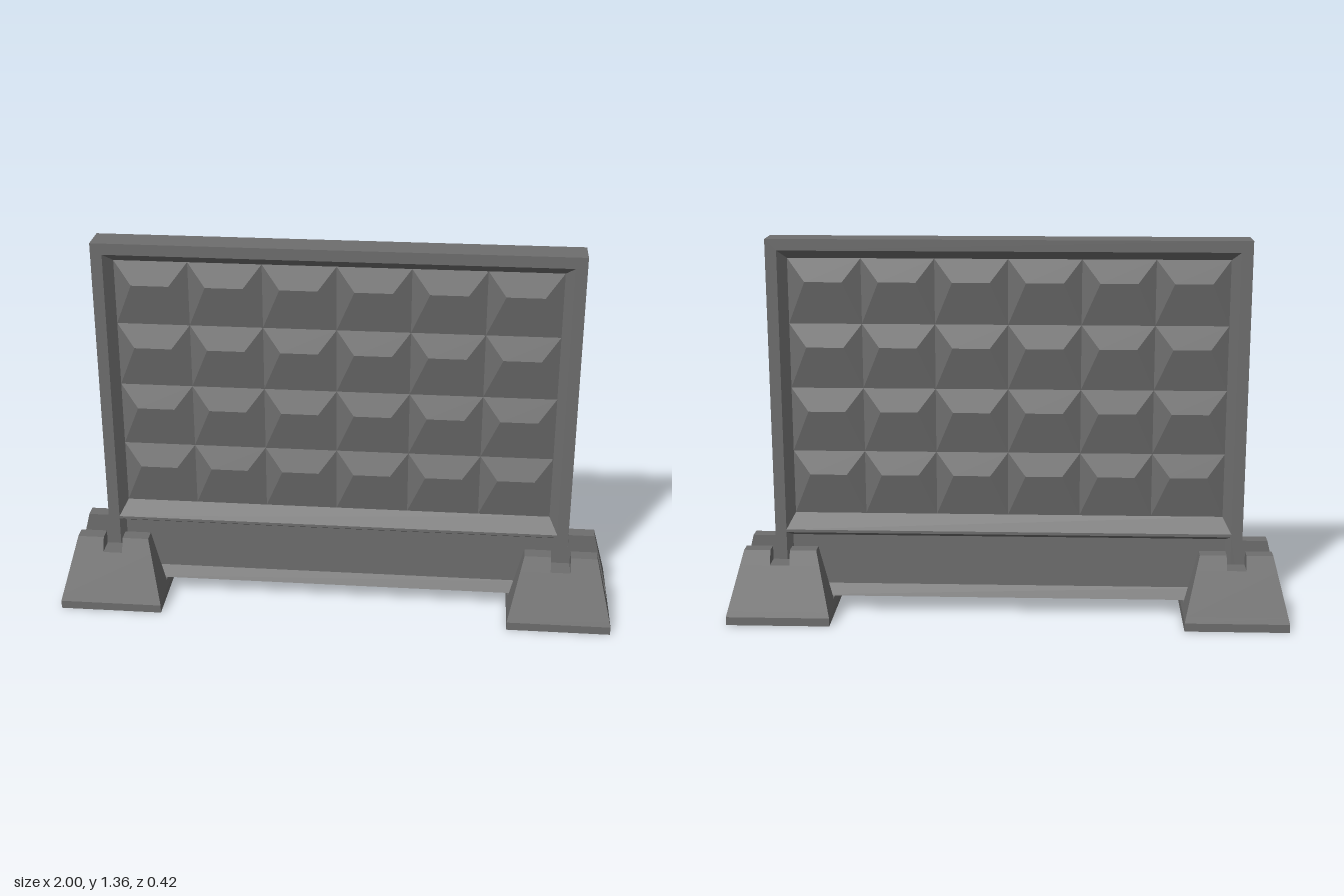
import * as THREE from 'three';

const concrete = new THREE.MeshStandardMaterial({ color: 0x6e6e6e });
concrete.name = 'concrete';

// Flat-shaded geometry from quads (corners counter-clockwise), skipping collapsed triangles
function fromQuads(quads) {
  const points = [];
  for (const [a, b, c, d] of quads) {
    for (const t of [[a, b, c], [a, c, d]]) {
      if (new THREE.Triangle(...t).getArea() > 1e-7) points.push(...t);
    }
  }
  const geometry = new THREE.BufferGeometry().setFromPoints(points);
  geometry.computeVertexNormals();
  return geometry;
}

function addMesh(parent, name, geometry) {
  const mesh = new THREE.Mesh(geometry, concrete);
  mesh.name = name;
  parent.add(mesh);
  return mesh;
}

// Upright rectangle [x0, x1, y0, y1] at depth z, as four corners
const upright = ([x0, x1, y0, y1], z) =>
  [[x0, y0], [x1, y0], [x1, y1], [x0, y1]].map(([x, y]) => new THREE.Vector3(x, y, z));

// Four quads joining one loop of corners to the next
const band = (a, b) => a.map((p, i) => [p, a[(i + 1) % 4], b[(i + 1) % 4], b[i]]);

// Level rectangle [y, x0, x1, z0, z1], counter-clockwise from above
const level = ([y, x0, x1, z0, z1]) =>
  [[x0, z1], [x1, z1], [x1, z0], [x0, z0]].map(([x, z]) => new THREE.Vector3(x, y, z));

// Solid through a stack of level rectangles
function stack(rects) {
  const loops = rects.map(level);
  const quads = [[...loops[0]].reverse(), loops[loops.length - 1]];
  for (let i = 1; i < loops.length; i++) quads.push(...band(loops[i - 1], loops[i]));
  return fromQuads(quads);
}

const FACE = 0.055, FIELD = 0.018, RIDGE = 0.05, PLINTH = 0.03;

// One face of the panel: frame, recessed field of studs, and lower recess
function makePanelFace(name) {
  const side = new THREE.Group();
  side.name = name;

  const opening = upright([-0.8, 0.8, 0.31, 1.32], FACE);
  const field = [-0.77, 0.77, 0.365, 1.29];
  addMesh(side, 'upperFrame', fromQuads([
    ...band(upright([-0.84, 0.84, 0.305, 1.36], FACE), opening),
    ...band(opening, upright(field, FIELD)),
  ]));

  const lowerOpening = upright([-0.8, 0.8, 0.06, 0.3], FACE);
  const floor = upright([-0.78, 0.78, 0.1, 0.285], PLINTH);
  addMesh(side, 'lowerRecess', fromQuads([
    ...band(upright([-0.84, 0.84, 0.06, 0.305], FACE), lowerOpening),
    ...band(lowerOpening, floor),
    floor,
  ]));

  // Hipped studs with a high, short ridge
  const studs = [];
  const w = (field[1] - field[0]) / 6, h = (field[3] - field[2]) / 4;
  for (let row = 0; row < 4; row++) {
    for (let col = 0; col < 6; col++) {
      const x = field[0] + col * w, y = field[2] + row * h, top = y + h - 0.08;
      studs.push(...band(
        upright([x, x + w, y, y + h], FIELD),
        upright([x + 0.063, x + w - 0.063, top, top], RIDGE),
      ));
    }
  }
  addMesh(side, 'studs', fromQuads(studs));
  return side;
}

// Tapered foot with a slot for the panel and a notch across its top
function makeFoot(name) {
  const foot = new THREE.Group();
  foot.name = name;
  const taper = (y) => Math.max(0, (y - 0.03) / 0.22);
  const halfX = (y) => 0.185 - 0.055 * taper(y);
  const halfZ = (y) => 0.21 - 0.1 * taper(y);
  const slot = 0.06, notch = 0.035;

  addMesh(foot, 'footBase', stack([0, 0.03, 0.05].map((y) =>
    [y, -halfX(y), halfX(y), -halfZ(y), halfZ(y)])));

  for (const turn of [0, Math.PI]) {
    const cheek = addMesh(foot, 'footCheek', stack([0.05, 0.2].map((y) =>
      [y, -halfX(y), halfX(y), slot, halfZ(y)])));
    cheek.rotation.y = turn;
    for (const s of [-1, 1]) {
      const horn = addMesh(foot, 'footHorn', stack([0.2, 0.25].map((y) =>
        s > 0 ? [y, notch, halfX(y), slot, halfZ(y)] : [y, -halfX(y), -notch, slot, halfZ(y)])));
      horn.rotation.y = turn;
    }
  }
  return foot;
}

export function createModel() {
  const model = new THREE.Group();
  model.name = 'concreteFenceSection';

  const panel = new THREE.Group();
  panel.name = 'panel';
  const outline = [-0.84, 0.84, 0.06, 1.36];
  addMesh(panel, 'panelEdges', fromQuads(band(upright(outline, -FACE), upright(outline, FACE))));
  const back = makePanelFace('panelBack');
  back.rotation.y = Math.PI;
  panel.add(makePanelFace('panelFront'), back);
  model.add(panel);

  for (const [name, x] of [['leftFoot', 0.815], ['rightFoot', -0.815]]) {
    const foot = makeFoot(name);
    foot.position.x = x;
    model.add(foot);
  }
  return model;
}
